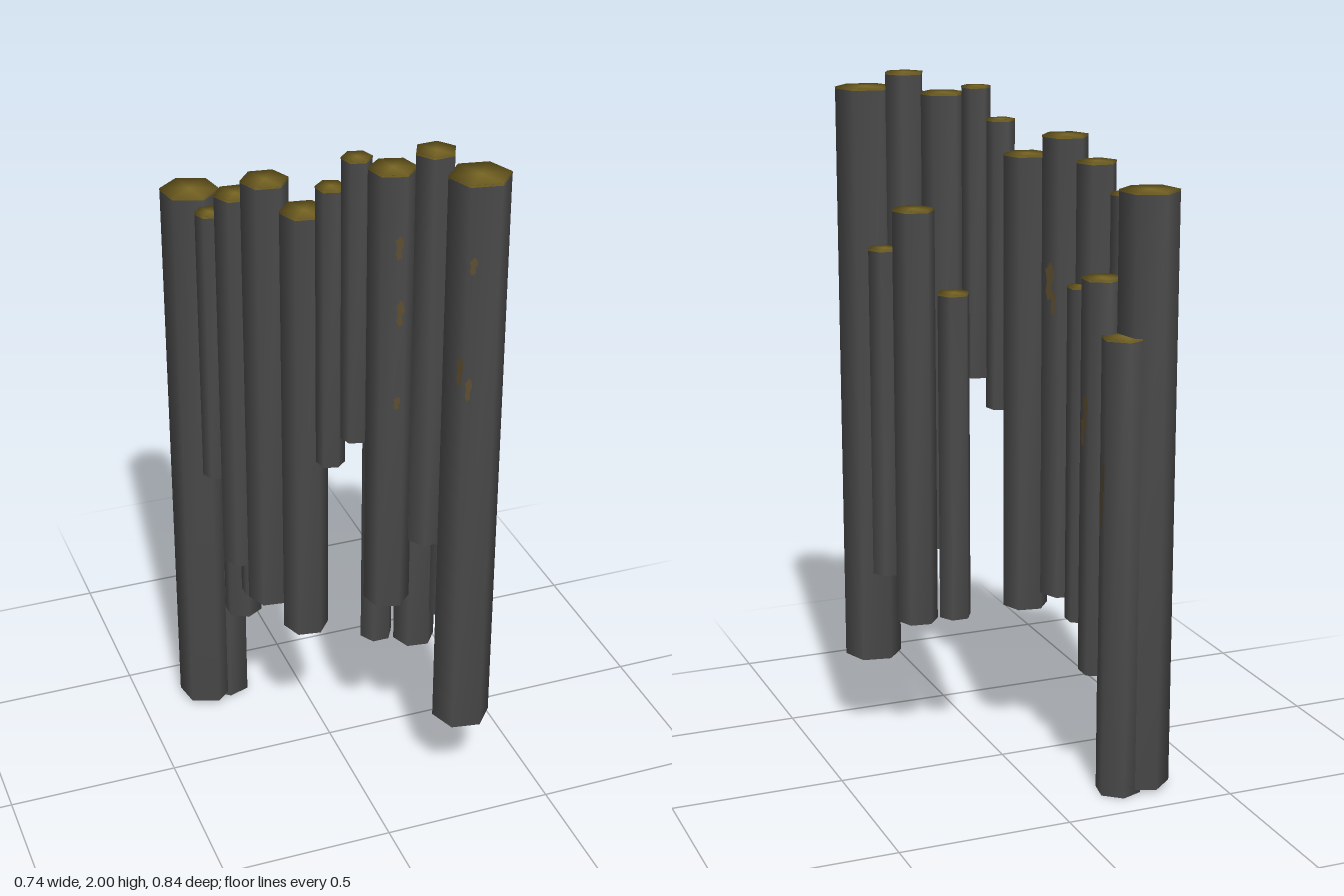
import * as THREE from 'three';
import { mergeVertices } from 'three/addons/utils/BufferGeometryUtils.js';

const rad = THREE.MathUtils.degToRad;

// Each column: x, z, radius, bottom, top, heading of one corner (degrees)
const COLUMNS = [
  [-0.29, -0.34, 0.083, 0.012, 1.725, 20],
  [-0.216, -0.351, 0.066, 0, 1.33, 40],
  [-0.185, -0.27, 0.057, 0.34, 1.48, 30],
  [-0.27, -0.225, 0.04, 0.865, 1.7, 10],
  [-0.22, -0.147, 0.058, 0.61, 1.78, 5],
  [-0.172, -0.173, 0.045, 0.465, 1.44, 31],
  [-0.162, -0.065, 0.066, 0.515, 1.845, 8],
  [-0.086, 0.032, 0.066, 0.455, 1.785, 9],
  [-0.036, 0.104, 0.041, 1.04, 1.875, 18],
  [0.021, 0.145, 0.041, 1.13, 1.965, 14],
  [0.108, 0.102, 0.048, 0.42, 1.39, 0],
  [0.101, 0.197, 0.065, 0.615, 1.945, 16],
  [0.213, 0.139, 0.061, 0.41, 1.63, 8],
  [0.197, 0.251, 0.057, 0.83, 2, 55],
  [0.274, 0.219, 0.047, 0.54, 1.51, 0],
  [0.285, 0.337, 0.084, 0.25, 1.955, 10],
];

// Each patch: column, face (counted from the corner), height, sideways shift, width, length
const PATCHES = [
  [1, -1, 0.94, 0.015, 0.03, 0.09],
  [1, -1, 0.85, -0.005, 0.035, 0.12],
  [2, -1, 1.11, 0.008, 0.03, 0.1],
  [2, -1, 1.05, -0.005, 0.035, 0.09],
  [6, -1, 1.44, 0, 0.035, 0.11],
  [6, -1, 1.38, 0.015, 0.022, 0.07],
  [6, 0, 1.65, 0.015, 0.015, 0.07],
  [6, 0, 1.18, 0.015, 0.015, 0.04],
  [11, 1, 1.74, 0.015, 0.022, 0.07],
  [11, 1, 1.55, 0.02, 0.022, 0.08],
  [11, 1, 1.28, 0.015, 0.02, 0.04],
  [12, 0, 1.2, 0, 0.025, 0.13],
  [15, 1, 1.73, -0.028, 0.022, 0.05],
  [15, 1, 1.37, -0.03, 0.02, 0.07],
  [15, 2, 1.42, 0.025, 0.025, 0.09],
];

// Hexagonal prism with normals blended over all its edges
function prism(r, h, corner) {
  const g = new THREE.CylinderGeometry(r, r, h, 6, 1, false, rad(90 - corner));
  g.deleteAttribute('normal');
  g.deleteAttribute('uv');
  const merged = mergeVertices(g);
  merged.computeVertexNormals();
  return merged;
}

// Ragged flat blotch, one unit wide and tall
function blotchGeometry() {
  const outline = [[-0.2, -0.5], [0.3, -0.4], [0.2, -0.1], [0.5, 0.1], [0.35, 0.4],
    [0.05, 0.5], [-0.25, 0.35], [-0.5, 0.3], [-0.3, 0], [-0.45, -0.25]];
  return new THREE.ShapeGeometry(new THREE.Shape(outline.map(([x, y]) => new THREE.Vector2(x, y))));
}

export function createModel() {
  const stone = new THREE.MeshStandardMaterial({ color: 0x4a4a4a });
  stone.name = 'darkStone';
  const moss = new THREE.MeshStandardMaterial({ color: 0x7a6724 });
  moss.name = 'ochreMoss';
  const stain = new THREE.MeshStandardMaterial({ color: 0x5e4e30 });
  stain.name = 'brownLichen';

  const model = new THREE.Group();
  model.name = 'stoneColumns';
  const blotch = blotchGeometry();

  COLUMNS.forEach(([x, z, r, bottom, top, corner], i) => {
    const column = new THREE.Group();
    column.name = `column${i + 1}`;
    column.position.set(x, 0, z);
    model.add(column);

    // Shaft with a mossy upper face
    const shaft = new THREE.Mesh(prism(r, top - bottom, corner), [stone, moss, stone]);
    shaft.name = 'columnShaft';
    shaft.position.y = (top + bottom) / 2;
    column.add(shaft);

    // Thin mossy lip around the upper edge
    const rim = new THREE.Mesh(
      new THREE.CylinderGeometry(r + 0.0006, r + 0.0006, 0.006, 6, 1, true, rad(90 - corner)), moss);
    rim.name = 'mossRim';
    rim.position.y = top - 0.003;
    column.add(rim);

    // Lichen on the sides
    for (const [owner, face, y, shift, w, h] of PATCHES) {
      if (owner !== i) continue;
      const a = rad(corner + 30 + 60 * face);
      const d = r * Math.cos(Math.PI / 6) + 0.0015;
      const patch = new THREE.Mesh(blotch, stain);
      patch.name = 'lichenPatch';
      patch.position.set(
        d * Math.cos(a) + shift * Math.sin(a), y, d * Math.sin(a) - shift * Math.cos(a));
      patch.rotation.y = Math.PI / 2 - a;
      patch.scale.set(w, h, 1);
      column.add(patch);
    }
  });
  return model;
}
